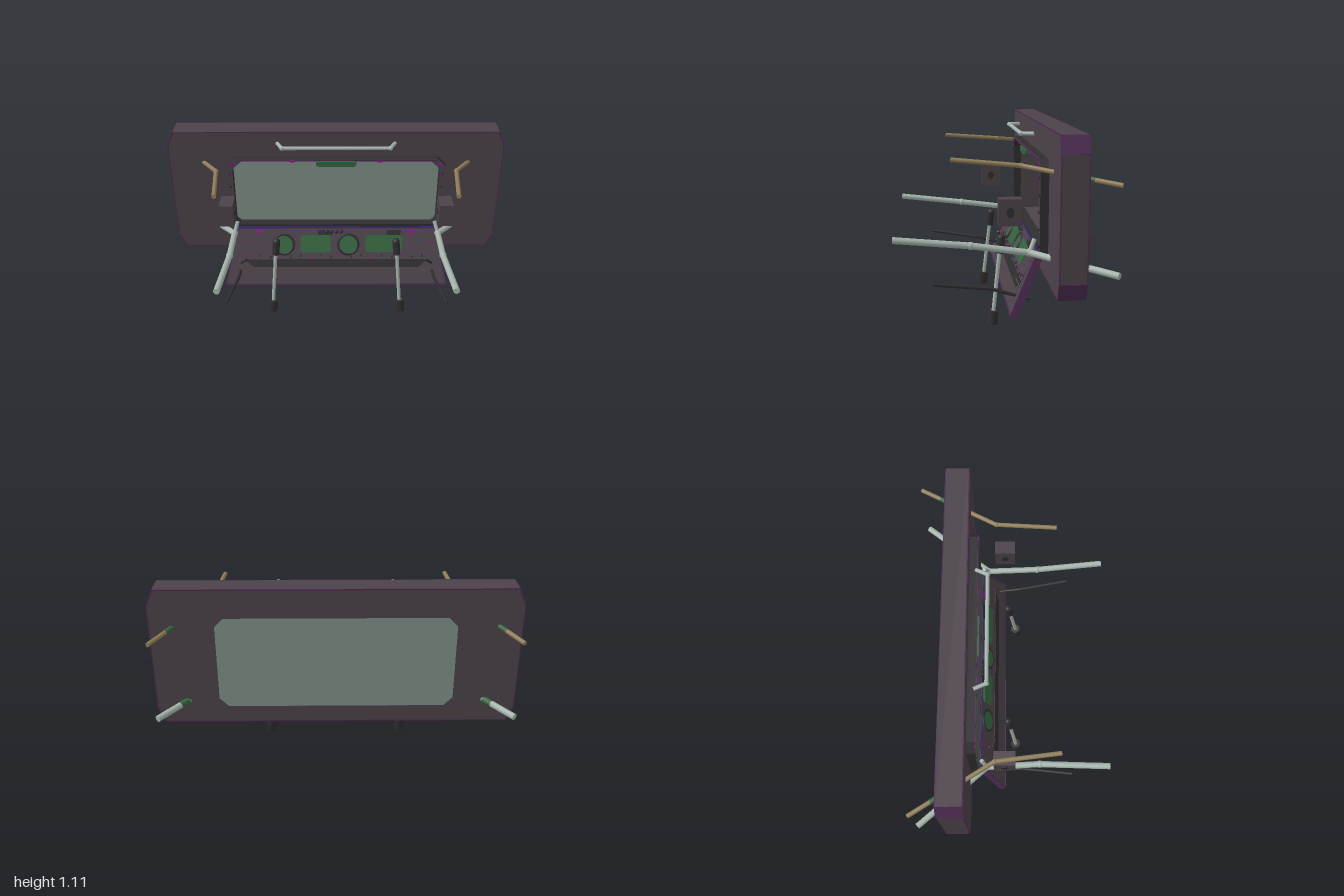
import * as THREE from 'three';

const paint = (name, color) => {
  const m = new THREE.MeshStandardMaterial({ color, side: THREE.DoubleSide });
  m.name = name;
  return m;
};
const grey = paint('frame grey', 0x4b4249);
const purple = paint('edge purple', 0x4c2a50);
const glass = paint('glass', 0x7f8f87);
const pale = paint('pale pipe', 0xa3b2aa);
const tan = paint('tan rod', 0x8c7b57);
const green = paint('display green', 0x35633f);
const black = paint('black', 0x2f2d2f);
const magenta = paint('rivet magenta', 0x8c128c);
const indigo = paint('sill indigo', 0x3c2c80);

const V = (x, y, z) => new THREE.Vector3(x, y, z);

function add(parent, name, geometry, material, x = 0, y = 0, z = 0) {
  const m = new THREE.Mesh(geometry, material);
  m.name = name;
  m.position.set(x, y, z);
  parent.add(m);
  return m;
}
const box = (parent, name, mat, w, h, d, x, y, z) => add(parent, name, new THREE.BoxGeometry(w, h, d), mat, x, y, z);

// Straight cylinder between two points
function rod(parent, name, mat, a, b, r, sides = 14) {
  const d = b.clone().sub(a);
  const m = add(parent, name, new THREE.CylinderGeometry(r, r, d.length(), sides), mat);
  m.position.copy(a).addScaledVector(d, 0.5);
  m.quaternion.setFromUnitVectors(V(0, 1, 0), d.normalize());
  return m;
}
// Bent pipe with ball joints at the bends
function pipe(parent, name, mat, pts, r, joint = 1.2) {
  const g = new THREE.Group();
  g.name = name;
  parent.add(g);
  for (let i = 0; i < pts.length - 1; i++) {
    rod(g, name + 'Section', mat, pts[i], pts[i + 1], r);
    if (i) add(g, name + 'Joint', new THREE.SphereGeometry(r * joint, 14, 10), mat, ...pts[i].toArray());
  }
}
// Rectangle with cut corners; top and bottom cuts given as [x, y]
function octagon(w, y0, y1, top, bottom, P = THREE.Shape) {
  return new P([
    [-w + bottom[0], y0], [w - bottom[0], y0], [w, y0 + bottom[1]], [w, y1 - top[1]],
    [w - top[0], y1], [-w + top[0], y1], [-w, y1 - top[1]], [-w, y0 + bottom[1]],
  ].map(p => new THREE.Vector2(...p)));
}
const extrude = (shape, depth, bevel = 0) => new THREE.ExtrudeGeometry(shape, {
  depth, bevelEnabled: bevel > 0, bevelSize: bevel, bevelThickness: bevel, bevelOffset: -bevel, bevelSegments: 1, curveSegments: 24,
});

function buildFrame(root) {
  // Thick outer wall
  const cut = [0.04, 0.09];
  const outer = octagon(1, 0.31, 1.11, cut, cut);
  outer.holes.push(octagon(0.65, 0.41, 0.945, [0.05, 0.05], [0.05, 0.05], THREE.Path));
  add(root, 'outerFrame', extrude(outer, 0.128), grey, 0, 0, -0.379);
  // Purple rims along front and back edges
  for (const z of [-0.385, -0.251]) {
    const rim = octagon(1, 0.31, 1.11, cut, cut);
    rim.holes.push(octagon(0.994, 0.316, 1.104, cut, cut, THREE.Path));
    add(root, 'edgeRim', extrude(rim, 0.006), purple, 0, 0, z);
    const face = octagon(0.994, 0.316, 1.104, cut, cut);
    face.holes.push(octagon(0.65, 0.41, 0.945, [0.05, 0.05], [0.05, 0.05], THREE.Path));
    add(root, 'facePlate', extrude(face, 0.006), grey, 0, 0, z);
  }
  // Painted corner chamfers
  for (const sx of [-1, 1]) for (const sy of [-1, 1]) {
    const c = box(root, 'cornerPlate', purple, 0.003, 0.098, 0.138, sx * 0.98, 0.71 + sy * 0.355, -0.315);
    c.rotation.z = sx * sy * Math.atan2(0.04, 0.09);
  }
  add(root, 'windowPane', new THREE.ShapeGeometry(octagon(0.65, 0.41, 0.945, [0.05, 0.05], [0.05, 0.05])), glass, 0, 0, -0.384);

  // Inner window surround
  const inner = octagon(0.655, 0.44, 0.955, [0.05, 0.05], [0.01, 0.01]);
  inner.holes.push(octagon(0.62, 0.505, 0.94, [0.055, 0.05], [0.02, 0.02], THREE.Path));
  add(root, 'windowSurround', extrude(inner, 0.05), [grey, black], 0, 0, -0.25);
  box(root, 'surroundTopEdge', purple, 1.2, 0.008, 0.008, 0, 0.947, -0.199);
  box(root, 'sillStrip', indigo, 1.26, 0.01, 0.015, 0, 0.486, -0.193);
  box(root, 'sill', black, 1.26, 0.016, 0.02, 0, 0.499, -0.2);
  for (const s of [-1, 1]) {
    for (let i = 0; i < 5; i++) box(root, 'surroundRivet', black, 0.012, 0.012, 0.01, s * 0.638, 0.5 + i * 0.09, -0.198);
    box(root, 'cornerRivet', magenta, 0.018, 0.018, 0.006, s * 0.62, 0.92, -0.198);
    box(root, 'sideRivet', magenta, 0.012, 0.016, 0.006, s * 0.635, 0.85, -0.198);
    box(root, 'topRivet', magenta, 0.03, 0.012, 0.006, s * 0.26, 0.942, -0.196);
  }
  // Green mirror at the top of the window
  add(root, 'mirror', extrude(octagon(0.12, 0.91, 0.945, [0.005, 0.005], [0.015, 0.012]), 0.025), green, 0, 0, -0.21);
}

function buildDashboard(root) {
  // Local plane: y runs up the slope, z = 0 is the front face
  const g = new THREE.Group();
  g.name = 'dashboard';
  g.position.set(0, 0.145, -0.045);
  g.rotation.x = -0.433;
  root.add(g);
  const trapezoid = (v0, v1, w0, w1) => new THREE.Shape(
    [[-w0, v0], [w0, v0], [w1, v1], [-w1, v1]].map(p => new THREE.Vector2(...p)));
  add(g, 'dashPanel', extrude(trapezoid(0, 0.365, 0.7, 0.62), 0.038), [grey, purple], 0, 0, -0.038);
  const border = trapezoid(0, 0.365, 0.7, 0.62);
  border.holes.push(trapezoid(0.009, 0.36, 0.69, 0.612));
  add(g, 'dashBorder', extrude(border, 0.002), purple);
  add(g, 'dashLedge', extrude(trapezoid(0.115, 0.165, 0.52, 0.575), 0.004), black);
  add(g, 'instrumentPlate', extrude(trapezoid(0.168, 0.358, 0.585, 0.6), 0.003), grey);

  // Round gauges
  for (const x of [-0.33, 0.075]) {
    add(g, 'gaugeRing', new THREE.TorusGeometry(0.063, 0.008, 8, 32), black, x, 0.26, 0.004);
    const dial = add(g, 'gaugeDial', new THREE.CylinderGeometry(0.06, 0.06, 0.006, 32), green, x, 0.26, 0.004);
    dial.rotation.x = Math.PI / 2;
  }
  // Rectangular displays, with their housings showing at the rear
  for (const [x, w] of [[-0.13, 0.095], [0.3, 0.115]]) {
    add(g, 'display', extrude(octagon(w, 0.21, 0.32, [0.015, 0.015], [0.015, 0.015]), 0.006), green, x, 0, 0.002);
    box(g, 'displayShade', black, 0.09, 0.03, 0.006, x + 0.06, 0.335, 0.004);
    const back = add(g, 'displayHousing', new THREE.CylinderGeometry(0.12, 0.12, 0.008, 28), green, x, 0.25, -0.04);
    back.rotation.x = Math.PI / 2;
    back.scale.z = 0.7;
  }
  // Switches and rivets
  for (let i = 0; i < 4; i++) add(g, 'knob', new THREE.SphereGeometry(0.012, 10, 8), black, -0.06 + i * 0.03, 0.342, 0.005);
  for (let i = 0; i < 18; i++) {
    box(g, 'lowerSwitch', i % 3 ? black : magenta, 0.008, 0.016, 0.008, -0.54 + i * 0.0635, 0.18 + (i % 2) * 0.01, 0.005);
  }
  for (const x of [-0.48, 0.47]) box(g, 'warningLight', magenta, 0.05, 0.018, 0.006, x, 0.345, 0.005);
  for (const s of [-1, 1]) for (let i = 0; i < 4; i++) box(g, 'sideRivet', magenta, 0.008, 0.01, 0.006, s * (0.57 - (i % 2) * 0.08), 0.2 + i * 0.04, 0.004);
}

function buildSide(root, s) {
  const g = new THREE.Group();
  g.name = s > 0 ? 'leftSide' : 'rightSide';
  root.add(g);
  const P = (x, y, z) => V(s * x, y, z);

  // Pale lower arm and tan upper rod, both passing through the wall
  const arm = [P(0.645, 0.548, 0.555), P(0.624, 0.507, 0.155), P(0.632, 0.467, -0.15), P(0.965, 0.427, -0.545)];
  pipe(g, 'lowerArm', pale, arm, 0.018);
  const upper = [P(0.663, 0.96, 0.255), P(0.7, 0.932, -0.095), P(0.972, 0.87, -0.545)];
  pipe(g, 'upperRod', tan, upper, 0.0125);
  for (const [pts, r, t] of [[arm, 0.0195, 0.6], [upper, 0.014, 0.65]]) {
    const [a, b] = pts.slice(-2);
    rod(g, 'wallCollar', green, a.clone().lerp(b, t - 0.02), a.clone().lerp(b, t + 0.09), r);
  }
  // Elbow clutter beside the surround
  rod(g, 'armBracket', pale, P(0.632, 0.467, -0.15), P(0.61, 0.535, -0.18), 0.012);

  // Thin black lever through the dashboard
  pipe(g, 'blackLever', black, [P(0.64, 0.307, 0.355), P(0.6, 0.267, 0.05), P(0.605, 0.207, -0.16)], 0.009, 1.05);
  rod(g, 'smallLever', black, P(0.56, 0.31, -0.09), P(0.605, 0.265, -0.11), 0.007);

  // Speaker box
  box(g, 'sideBox', grey, 0.08, 0.138, 0.12, s * 0.645, 0.69, -0.045);
  for (const e of [-1, 1]) {
    const disc = add(g, 'sideBoxDisc', new THREE.CylinderGeometry(0.02, 0.02, 0.004, 20), black, s * 0.645 + e * 0.041, 0.69, -0.045);
    disc.rotation.z = Math.PI / 2;
    disc.scale.x = 1.3;
  }

  // Control stick
  rod(g, 'stickBase', black, P(0.403, 0.003, 0.026), P(0.397, 0.077, 0.018), 0.03, 20);
  rod(g, 'stickShaft', pale, P(0.397, 0.075, 0.018), P(0.37, 0.41, -0.018), 0.011);
  rod(g, 'stickGrip', black, P(0.37, 0.4, -0.017), P(0.363, 0.485, -0.027), 0.022, 18);
  add(g, 'stickGripCap', new THREE.SphereGeometry(0.022, 18, 10), black, s * 0.363, 0.485, -0.027);
}

export function createModel() {
  const root = new THREE.Group();
  root.name = 'cockpitFront';
  buildFrame(root);
  buildDashboard(root);
  for (const s of [-1, 1]) buildSide(root, s);
  // Grab handle above the window
  pipe(root, 'grabHandle', pale, [V(-0.345, 1.057, -0.205), V(-0.315, 1.057, -0.138), V(0.315, 1.057, -0.138), V(0.345, 1.057, -0.205)], 0.011, 1.3);
  return root;
}
